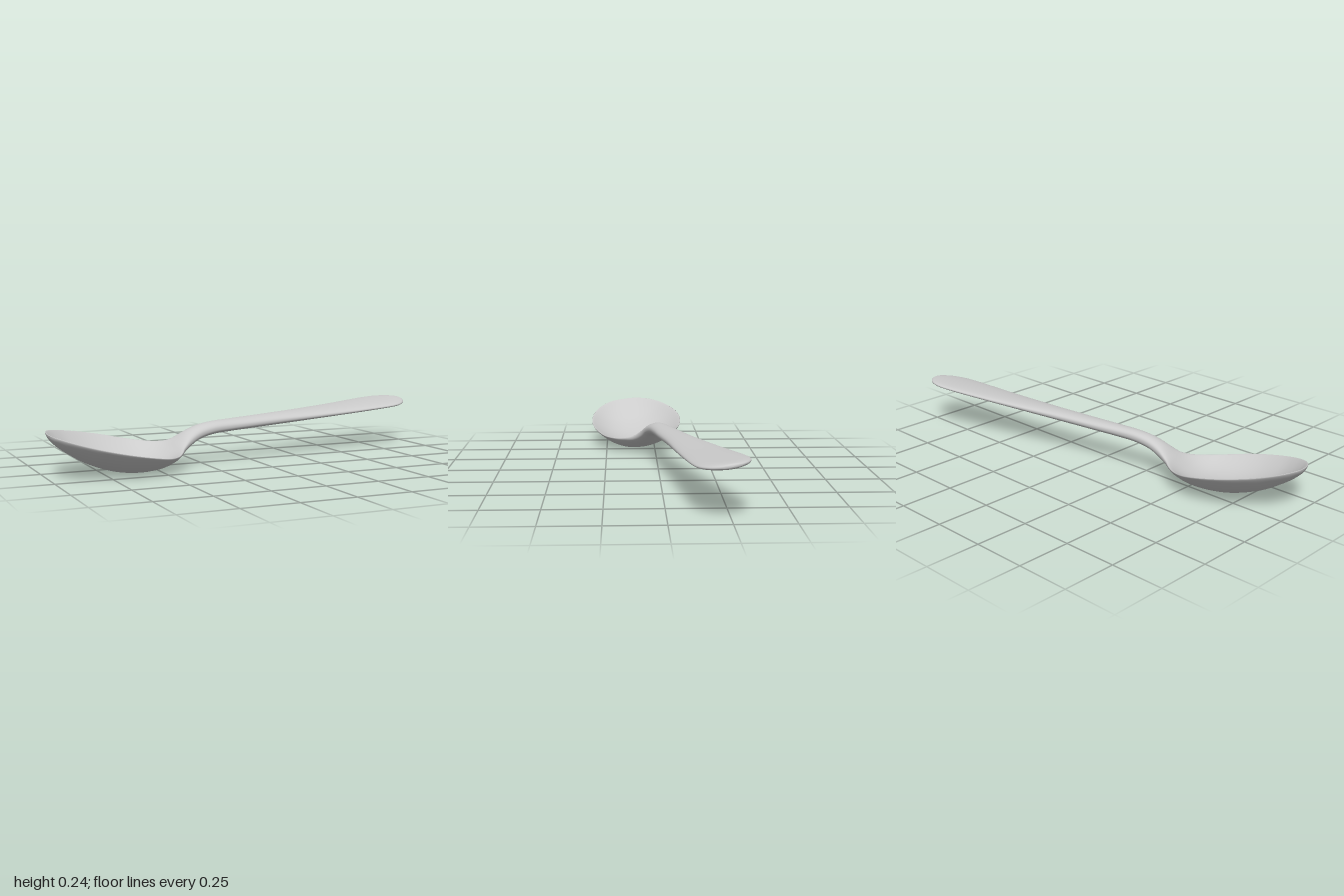
import * as THREE from 'three';
import { mergeVertices } from 'three/addons/utils/BufferGeometryUtils.js';

// Stations along the spoon: [position, half width, mid height, dish depth, half thickness]
const STATIONS = [
  [-1.017, 0, 0.188, 0, 0],
  [-1.012, 0.041, 0.18, 0.006, 0.008],
  [-1.0, 0.075, 0.167, 0.018, 0.012],
  [-0.97, 0.122, 0.142, 0.037, 0.014],
  [-0.92, 0.167, 0.108, 0.06, 0.014],
  [-0.85, 0.204, 0.069, 0.084, 0.014],
  [-0.75, 0.229, 0.033, 0.1, 0.014],
  [-0.65, 0.229, 0.016, 0.097, 0.014],
  [-0.55, 0.204, 0.017, 0.076, 0.014],
  [-0.48, 0.165, 0.035, 0.05, 0.016],
  [-0.43, 0.12, 0.06, 0.025, 0.02],
  [-0.39, 0.08, 0.084, 0.008, 0.027],
  [-0.34, 0.055, 0.115, 0, 0.032],
  [-0.28, 0.045, 0.142, 0, 0.03],
  [-0.2, 0.042, 0.158, 0, 0.028],
  [-0.1, 0.045, 0.164, 0, 0.027],
  [0.0, 0.051, 0.168, 0, 0.026],
  [0.2, 0.06, 0.176, 0, 0.025],
  [0.4, 0.077, 0.185, 0, 0.022],
  [0.6, 0.094, 0.195, 0, 0.019],
  [0.8, 0.109, 0.207, 0, 0.017],
  [0.9, 0.107, 0.213, 0, 0.016],
  [0.96, 0.084, 0.217, 0, 0.015],
  [0.995, 0.05, 0.22, 0, 0.012],
  [1.006, 0.025, 0.221, 0, 0.008],
  [1.01, 0, 0.221, 0, 0],
];
const YAW = 0.202; // heading of the spoon in plan
const ROLL = 0.11; // sideways lean, back edge higher
const RINGS = 150, SIDES = 48;

function spoonGeometry() {
  const spline = (pick) => new THREE.CatmullRomCurve3(
    STATIONS.map((r) => new THREE.Vector3(...pick(r))), false, 'catmullrom', 0.5);
  const outline = spline((r) => [r[0], r[1], r[2]]);
  const section = spline((r) => [r[3], r[4], 0]);
  const positions = [], index = [];
  const c = Math.cos(YAW), s = Math.sin(YAW);

  // Each ring is a flattened oval, bent upward at its edges where the bowl is dished
  for (let i = 0; i <= RINGS; i++) {
    const { x: along, y: half, z: mid } = outline.getPoint(i / RINGS);
    const { x: dish, y: thick } = section.getPoint(i / RINGS);
    for (let j = 0; j < SIDES; j++) {
      const a = (j / SIDES) * Math.PI * 2;
      const u = Math.cos(a), v = Math.sin(a);
      const w = Math.max(half, 0) * u;
      const y = mid + Math.max(dish, 0) * Math.abs(u) ** 2.2
        + Math.max(thick, 0) * Math.sign(v) * Math.abs(v) ** 0.85 - ROLL * w;
      positions.push(along * c + w * s, y, -0.045 - along * s + w * c);
    }
  }
  for (let i = 0; i < RINGS; i++) {
    for (let j = 0; j < SIDES; j++) {
      const k = (j + 1) % SIDES;
      const p = i * SIDES + j, q = i * SIDES + k;
      index.push(p, p + SIDES, q, q, p + SIDES, q + SIDES);
    }
  }
  let geometry = new THREE.BufferGeometry();
  geometry.setAttribute('position', new THREE.Float32BufferAttribute(positions, 3));
  geometry.setIndex(index);
  geometry = mergeVertices(geometry, 1e-5);
  // Rest the bowl on the ground
  geometry.computeBoundingBox();
  geometry.translate(0, -geometry.boundingBox.min.y, 0);
  geometry.computeVertexNormals();
  return geometry;
}

export function createModel() {
  const group = new THREE.Group();
  group.name = 'spoon';
  // Bowl, neck and handle form one continuous piece
  const body = new THREE.Mesh(spoonGeometry(), new THREE.MeshStandardMaterial({ color: 0xcccccc }));
  body.name = 'bowlAndHandle';
  group.add(body);
  return group;
}
